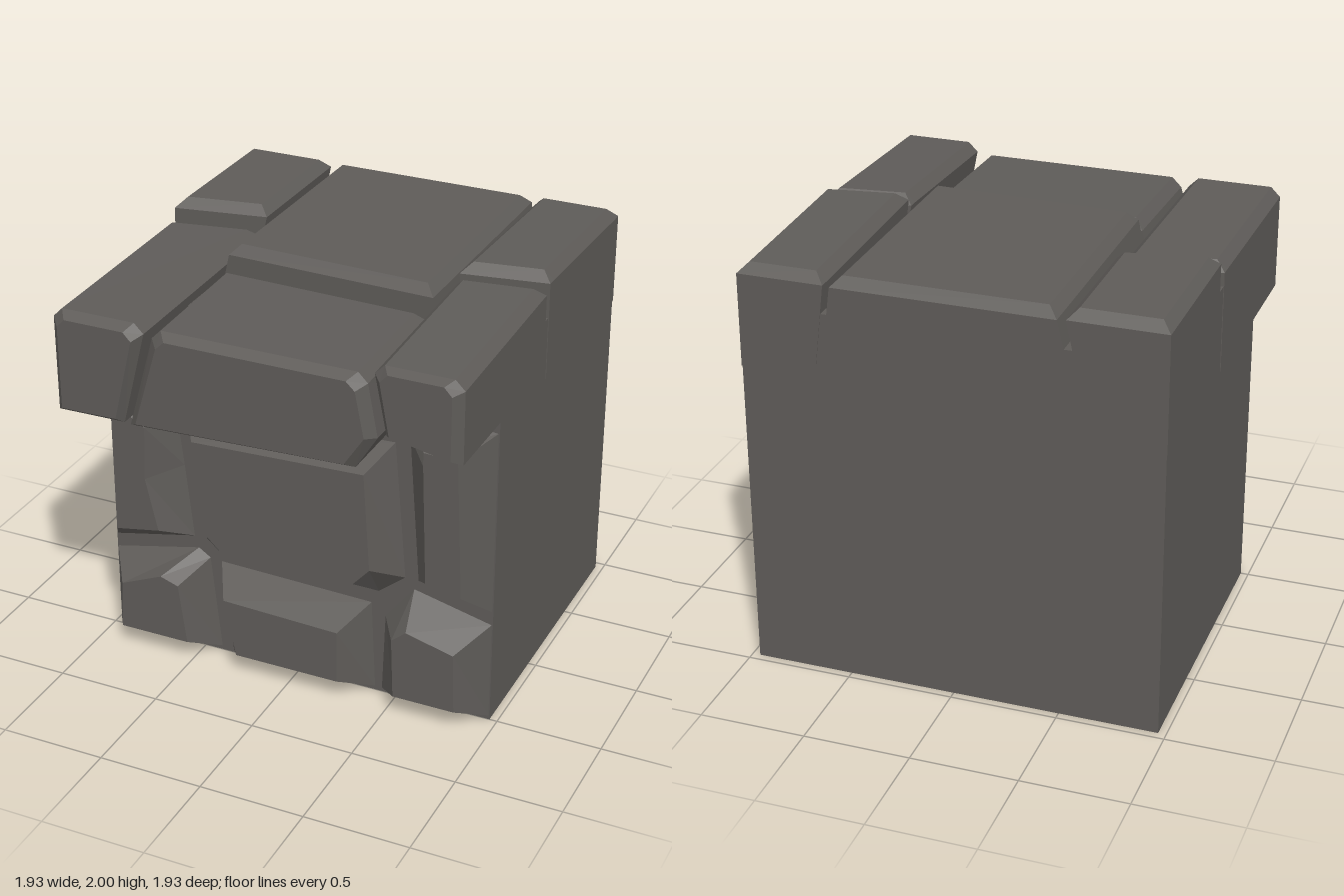
import * as THREE from 'three';

const stone = new THREE.MeshStandardMaterial({ color: 0x5e5b58 });
stone.name = 'dark stone';

// Flat-shaded solid through rings of [x, y, z], back to front, each counter-clockwise from the front
function loft(name, rings) {
  const pos = [];
  const tri = (a, b, c) => pos.push(...a, ...b, ...c);
  const n = rings[0].length;
  for (let r = 0; r < rings.length - 1; r++) {
    for (let i = 0; i < n; i++) {
      const j = (i + 1) % n;
      const [a, b, c, d] = [rings[r][i], rings[r][j], rings[r + 1][j], rings[r + 1][i]];
      tri(a, b, c);
      tri(a, c, d);
    }
  }
  const cap = (ring, front) => {
    const mid = [0, 1, 2].map(k => ring.reduce((s, p) => s + p[k], 0) / n);
    ring.forEach((p, i) => {
      const q = ring[(i + 1) % n];
      front ? tri(mid, p, q) : tri(mid, q, p);
    });
  };
  cap(rings[0], false);
  cap(rings[rings.length - 1], true);
  const geo = new THREE.BufferGeometry();
  geo.setAttribute('position', new THREE.Float32BufferAttribute(pos, 3));
  geo.computeVertexNormals();
  const mesh = new THREE.Mesh(geo, stone);
  mesh.name = name;
  return mesh;
}

// Bevelled wall stone standing out of the core
function wallStone(name, outer, inner) {
  if (THREE.ShapeUtils.isClockWise(outer.map(p => new THREE.Vector2(...p)))) {
    outer = [...outer].reverse();
    inner = [...inner].reverse();
  }
  const at = (ring, z) => ring.map(([x, y]) => [x, y, z]);
  return loft(name, [at(outer, 0.45), at(outer, 0.5), at(inner, 0.665)]);
}

// Roof stone: lower outline points (left to right) plus a chamfered top between xl and xr.
// front and back give z at xl and xr, top gives the height at front and back.
function roofStone(name, { low, xl, xr, front, back, top, overhang }) {
  const bevel = 0.045;
  const lerpZ = (ends, x) => THREE.MathUtils.lerp(ends[0], ends[1], (x - xl) / (xr - xl));
  const section = (y, ends, shift, flattened) => {
    const c = flattened ? 0 : bevel;
    const pts = [...low, [xr, y - bevel], [xr - c, y - bevel + c], [xl + c, y - bevel + c], [xl, y - bevel]];
    return pts.map(([x, py]) => [x, py, lerpZ(ends, x) + shift]);
  };
  const tip = section(top[0], front, 0, !overhang);
  if (overhang) {
    // the exposed front end is bevelled all the way round
    const cx = (xl + xr) / 2, cy = (top[0] + low[0][1]) / 2;
    for (const p of tip) {
      p[0] = cx + (p[0] - cx) * (1 - 0.08 / (xr - xl));
      p[1] = cy + (p[1] - cy) * 0.87;
    }
  }
  return loft(name, [
    section(top[1], back, 0, true),
    section(top[1], back, bevel, false),
    section(top[0], front, -bevel, false),
    tip,
  ]);
}

export function createModel() {
  const model = new THREE.Group();
  model.name = 'stoneBlock';

  // Plain core
  const core = new THREE.Mesh(new THREE.BoxGeometry(1.926, 1.79, 1.463), stone);
  core.name = 'core';
  core.position.set(0, 0.895, -0.2315);
  model.add(core);

  // Front wall stones
  const wall = new THREE.Group();
  wall.name = 'frontWall';
  wall.add(
    wallStone('lowerRightStone',
      [[-0.96, 0.02], [-0.41, 0.02], [-0.46, 0.5], [-0.52, 0.54], [-0.96, 0.44]],
      [[-0.86, 0.11], [-0.51, 0.11], [-0.55, 0.41], [-0.64, 0.44], [-0.85, 0.35]]),
    wallStone('lowerMiddleStone',
      [[-0.35, 0.02], [0.39, 0.02], [0.37, 0.475], [-0.4, 0.495]],
      [[-0.25, 0.11], [0.27, 0.11], [0.27, 0.375], [-0.31, 0.395]]),
    wallStone('lowerLeftStone',
      [[0.425, 0.02], [0.957, 0.02], [0.957, 0.51], [0.58, 0.6], [0.44, 0.42]],
      [[0.55, 0.11], [0.85, 0.11], [0.84, 0.41], [0.61, 0.47], [0.54, 0.41]]),
    wallStone('middleRightStone',
      [[-0.96, 1.34], [-0.67, 1.31], [-0.62, 1.3], [-0.58, 0.97], [-0.54, 0.6], [-0.96, 0.51]],
      [[-0.86, 1.24], [-0.76, 1.26], [-0.69, 1.22], [-0.7, 0.95], [-0.64, 0.69], [-0.86, 0.65]]),
    wallStone('centreStone',
      [[-0.56, 1.29], [0.48, 1.33], [0.535, 0.65], [0.405, 0.545], [-0.4, 0.56], [-0.475, 0.6]],
      [[-0.45, 1.2], [0.4, 1.23], [0.43, 0.75], [0.35, 0.66], [-0.31, 0.65], [-0.385, 0.72]]),
    wallStone('middleLeftStone',
      [[0.55, 1.37], [0.62, 1.52], [0.957, 1.48], [0.957, 0.58], [0.6, 0.65]],
      [[0.68, 1.34], [0.68, 1.405], [0.84, 1.4], [0.87, 0.72], [0.7, 0.755]]),
  );
  model.add(wall);

  // Roof: three columns, each split by a slanted gap into a front and a back stone
  const edge = 0.966;
  const columns = [
    { side: 'right', xl: -edge, xr: -0.52, low: [[-edge, 1.38], [-0.635, 1.385]],
      gap: [[-0.11, -0.195], [-0.18, -0.26]], frontTop: [1.88, 1.9], backTop: [1.97, 1.97] },
    { side: 'middle', xl: -0.48, xr: 0.535, low: [[-0.605, 1.38], [0.48, 1.42], [0.58, 1.58]],
      gap: [[0.265, 0.305], [0.2, 0.24]], frontTop: [1.87, 1.89], backTop: [1.97, 1.965] },
    { side: 'left', xl: 0.565, xr: edge, low: [[0.62, 1.6], [edge, 1.54]], backLow: [[0.61, 1.55], [edge, 1.49]],
      gap: [[0.045, -0.01], [0.015, -0.05]], frontTop: [1.925, 1.96], backTop: [2, 1.97] },
  ];
  const roof = new THREE.Group();
  roof.name = 'roof';
  for (const c of columns) {
    roof.add(
      roofStone(c.side + 'FrontRoofStone', { ...c, front: [edge, edge], back: c.gap[0], top: c.frontTop, overhang: true }),
      roofStone(c.side + 'BackRoofStone', { ...c, low: c.backLow ?? c.low, front: c.gap[1], back: [-edge, -edge], top: c.backTop }),
    );
  }
  model.add(roof);
  return model;
}
